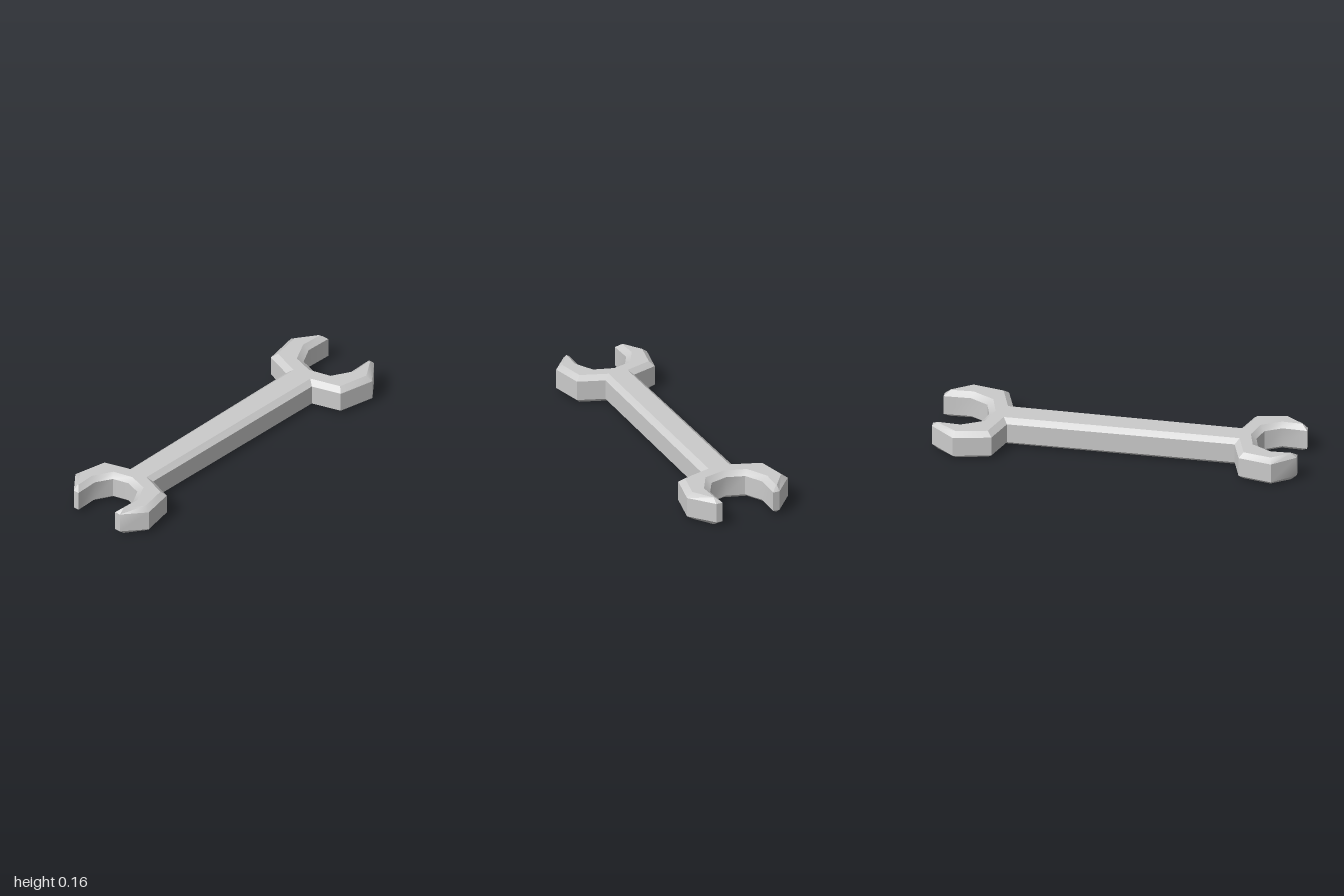
import * as THREE from 'three';
import { toCreasedNormals } from 'three/addons/utils/BufferGeometryUtils.js';

// Half of one open jaw, from the neck around the tip to the throat:
// [x, z] of the side wall, then [x, z] of the inset flat face.
const JAW = [
  [0.605, 0.095, 0.629, 0.062], // neck
  [0.66, 0.257, 0.685, 0.229], // shoulder
  [0.865, 0.3, 0.856, 0.264], // widest point
  [1, 0.188, 0.967, 0.188], // tip, outer
  [1, 0.15, 0.967, 0.182], // tip, inner
  [0.85, 0.155, 0.842, 0.188],
  [0.75, 0.1, 0.721, 0.123],
  [0.72, 0, 0.686, 0], // throat centre
];

// Whole jaw outline, mirrored in z, scaled about its open end
function jawOutline(scale, side) {
  const mirrored = JAW.slice(0, -1).reverse().map(([x, z, u, w]) => [x, -z, u, -w]);
  return [...JAW, ...mirrored].map(([x, z, u, w]) => [
    side * (1 - (1 - x) * scale), side * z * scale,
    side * (1 - (1 - u) * scale), side * w * scale,
  ]);
}

function bodyGeometry() {
  // Large jaw on the left, small jaw on the right; the handle joins their necks
  const outline = [...jawOutline(1, 1), ...jawOutline(0.9, -1)];
  const n = outline.length;
  const pos = [];
  const index = [];

  // Four stacked rings: bottom face, lower wall, upper wall, top face
  for (const [y, inset] of [[0, 2], [0.025, 0], [0.135, 0], [0.16, 2]]) {
    for (const p of outline) pos.push(p[inset], y, p[inset + 1]);
  }
  // Bevels and walls
  for (let r = 0; r < 3; r++) {
    for (let i = 0; i < n; i++) {
      const a = r * n + i;
      const b = r * n + (i + 1) % n;
      index.push(a, b, b + n, a, b + n, a + n);
    }
  }
  // Flat faces
  const face = outline.map((p) => new THREE.Vector2(p[2], -p[3]));
  for (const [a, b, c] of THREE.ShapeUtils.triangulateShape(face, [])) {
    index.push(a, c, b, 3 * n + a, 3 * n + b, 3 * n + c);
  }

  const geometry = new THREE.BufferGeometry();
  geometry.setAttribute('position', new THREE.Float32BufferAttribute(pos, 3));
  geometry.setIndex(index);
  return toCreasedNormals(geometry, 0.6);
}

export function createModel() {
  const group = new THREE.Group();
  group.name = 'openEndWrench';
  const body = new THREE.Mesh(bodyGeometry(), new THREE.MeshStandardMaterial({ color: 0xcccccc }));
  body.name = 'wrenchBody';
  group.add(body);
  return group;
}
